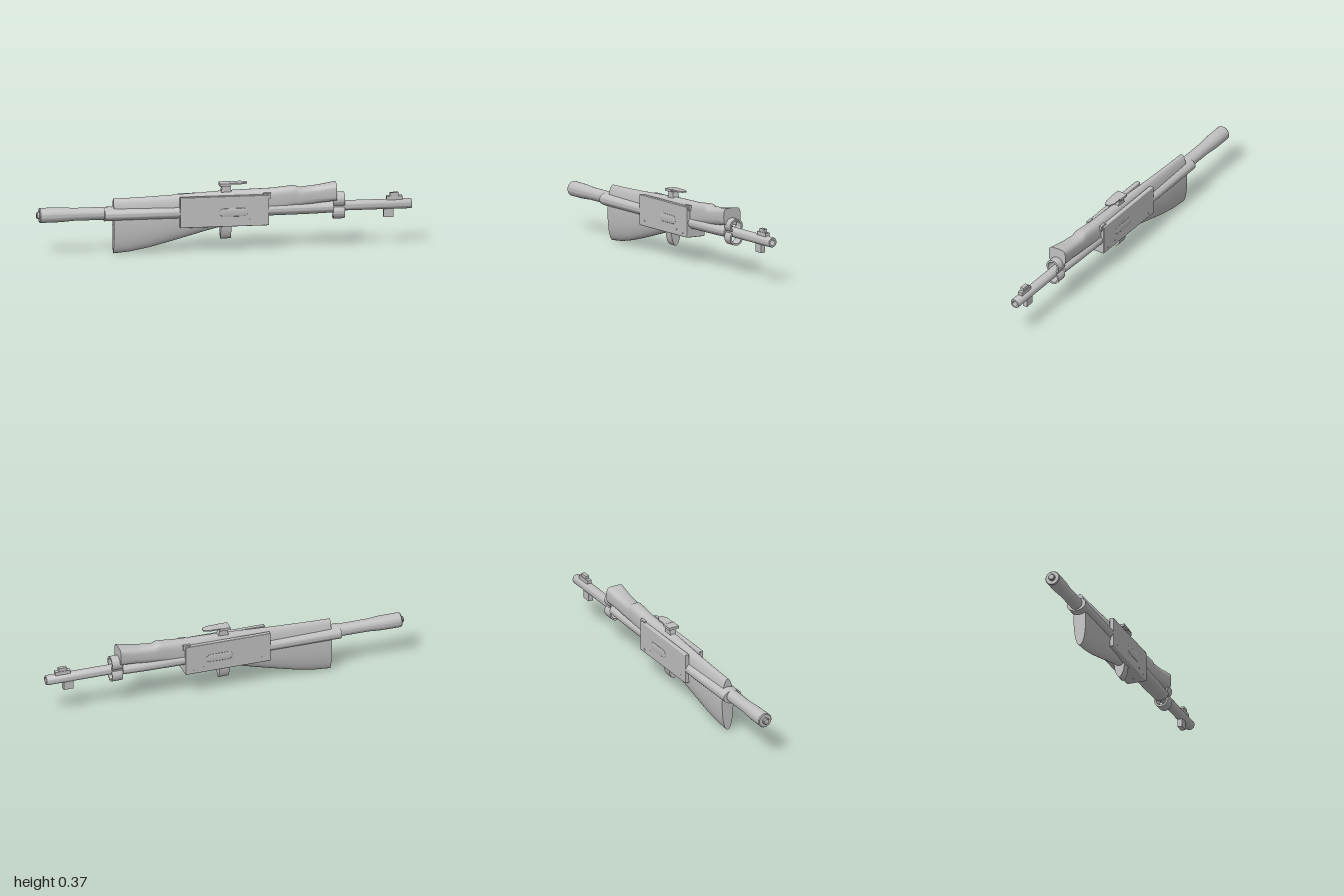
import * as THREE from 'three';
import { toCreasedNormals } from 'three/addons/utils/BufferGeometryUtils.js';
import { RoundedBoxGeometry } from 'three/addons/geometries/RoundedBoxGeometry.js';

const AXIS = 0.222; // height of the barrel axis

export function createModel() {
  const root = new THREE.Group();
  const grey = new THREE.MeshStandardMaterial({ color: 0xc0c0c0 });

  const add = (name, geo, x = 0, y = 0, z = 0) => {
    const m = new THREE.Mesh(geo, grey);
    m.name = name;
    m.position.set(x, y, z);
    root.add(m);
    return m;
  };
  // box from its limits, centred on z = 0 unless shifted
  const box = (name, x0, x1, y0, y1, w, z = 0) =>
    add(name, new THREE.BoxGeometry(x1 - x0, y1 - y0, w), (x0 + x1) / 2, (y0 + y1) / 2, z);
  // body turned around the x axis, from [x, radius] pairs
  const turned = (name, pts, y = AXIS, zScale = 1) => {
    const g = new THREE.LatheGeometry(pts.map(([x, r]) => new THREE.Vector2(r, x)), 40);
    g.rotateZ(-Math.PI / 2);
    g.scale(1, 1, zScale);
    return add(name, toCreasedNormals(g, 0.5), 0, y);
  };
  // loft along x: stations [x, bottom, top, halfWidth, squareness]
  const loft = (name, stations, n = 36) => {
    const pos = [], idx = [];
    const bend = (v, p) => Math.sign(v) * Math.pow(Math.abs(v), p);
    stations.forEach(([x, lo, hi, hw, p]) => {
      for (let j = 0; j < n; j++) {
        const a = (j / n) * Math.PI * 2;
        pos.push(x, (lo + hi) / 2 + bend(Math.sin(a), p) * (hi - lo) / 2, bend(Math.cos(a), p) * hw);
      }
    });
    const last = stations.length - 1;
    for (let i = 0; i < last; i++) for (let j = 0; j < n; j++) {
      const k = (j + 1) % n, a = i * n, b = a + n;
      idx.push(a + j, b + j, a + k, b + j, b + k, a + k);
    }
    [0, last].forEach((s) => {
      const c = pos.length / 3, [x, lo, hi] = stations[s];
      pos.push(x, (lo + hi) / 2, 0);
      for (let j = 0; j < n; j++) {
        const a = s * n + j, b = s * n + (j + 1) % n;
        idx.push(c, ...(s ? [b, a] : [a, b]));
      }
    });
    const g = new THREE.BufferGeometry();
    g.setAttribute('position', new THREE.Float32BufferAttribute(pos, 3));
    g.setIndex(idx);
    return add(name, toCreasedNormals(g, 0.7));
  };

  // Stock: deep at the rear, slim in the middle, flared at the front
  loft('stock', [
    [-0.59, 0.003, 0.3, 0.034, 0.95],
    [-0.5, 0.011, 0.302, 0.036, 0.95],
    [-0.4, 0.03, 0.305, 0.036, 0.9],
    [-0.3, 0.055, 0.309, 0.036, 0.9],
    [-0.2, 0.082, 0.314, 0.036, 0.85],
    [-0.1, 0.11, 0.319, 0.036, 0.8],
    [0, 0.135, 0.324, 0.036, 0.75],
    [0.12, 0.16, 0.327, 0.036, 0.7],
    [0.25, 0.2, 0.329, 0.038, 0.7],
    [0.36, 0.225, 0.338, 0.039, 0.65],
    [0.38, 0.228, 0.338, 0.039, 0.65],
    [0.4, 0.23, 0.328, 0.039, 0.65],
    [0.5, 0.245, 0.336, 0.044, 0.6],
    [0.596, 0.255, 0.35, 0.052, 0.5],
  ]);

  // Barrel group
  turned('rearTube', [[-0.985, 0], [-0.985, 0.036], [-0.98, 0.04], [-0.87, 0.039], [-0.8, 0.034], [-0.6, 0.034], [-0.6, 0]]);
  turned('rearPin', [[-1, 0], [-1, 0.014], [-0.995, 0.018], [-0.98, 0.018], [-0.98, 0]]);
  turned('barrel', [[0.5, 0], [0.5, 0.027], [0.994, 0.027], [1, 0.024], [1, 0.015], [0.95, 0.015], [0.95, 0]]);
  turned('rearSleeve', [[-0.64, 0], [-0.64, 0.037], [-0.2, 0.037], [-0.2, 0]], 0.218, 1.45);
  turned('frontSleeve', [[0.2, 0], [0.2, 0.036], [0.45, 0.034], [0.58, 0.031], [0.58, 0]], 0.218, 1.35);

  // Receiver: solid floor with a raised wall on each side
  add('receiverBody', new RoundedBoxGeometry(0.475, 0.11, 0.11, 2, 0.004), -0.003, 0.195, 0);
  for (const s of [1, -1]) {
    add('receiverWall', new RoundedBoxGeometry(0.475, 0.165, 0.024, 2, 0.004), -0.003, 0.2225, s * 0.043);
    box('wallLug', 0.205, 0.245, 0.285, 0.313, 0.014, s * 0.041);
    // capsule-shaped side panel
    const rail = new THREE.CapsuleGeometry(0.022, 0.105, 6, 16);
    rail.rotateZ(Math.PI / 2);
    rail.scale(1, 1, 0.14);
    add('sidePanel', rail, 0.045, 0.217, s * 0.055);
    for (const [x, y] of [[-0.19, 0.168], [0.13, 0.172], [0.19, 0.158]]) {
      const pin = new THREE.CylinderGeometry(0.005, 0.005, 0.004, 12);
      pin.rotateX(Math.PI / 2);
      add('sidePin', pin, x, y, s * 0.055);
    }
  }
  for (const x of [-0.18, -0.1, 0.1, 0.18]) {
    add('bottomPin', new THREE.CylinderGeometry(0.006, 0.006, 0.004, 12), x, 0.14, 0);
  }

  // Tapered block under the receiver
  const lower = new THREE.Shape();
  lower.moveTo(-0.03, 0.15);
  lower.quadraticCurveTo(-0.026, 0.075, 0, 0.064);
  lower.quadraticCurveTo(0.026, 0.075, 0.03, 0.15);
  lower.closePath();
  const lowerGeo = new THREE.ExtrudeGeometry(lower, { depth: 0.056, bevelEnabled: false, curveSegments: 10 });
  lowerGeo.rotateY(Math.PI / 2);
  add('lowerBlock', toCreasedNormals(lowerGeo, 0.6), -0.02, 0, 0);

  // Rear sight on a pillar
  const pillar = new THREE.Shape([
    [-0.022, 0.3], [0.045, 0.3], [0.032, 0.345], [0.034, 0.366], [-0.025, 0.366], [-0.025, 0.352], [-0.012, 0.345],
  ].map(([x, y]) => new THREE.Vector2(x, y)));
  const pillarGeo = new THREE.ExtrudeGeometry(pillar, { depth: 0.034, bevelEnabled: false });
  add('sightPillar', pillarGeo, 0, 0, -0.017);
  box('sightPlate', -0.025, 0.035, 0.353, 0.367, 0.06);
  const leaf = new THREE.Shape([
    [0.03, -0.026], [0.09, -0.026], [0.122, -0.012], [0.122, 0.012], [0.09, 0.026], [0.03, 0.026],
  ].map(([x, z]) => new THREE.Vector2(x, z)));
  const leafGeo = new THREE.ExtrudeGeometry(leaf, { depth: 0.007, bevelEnabled: false });
  leafGeo.rotateX(-Math.PI / 2);
  add('sightLeaf', leafGeo, 0, 0.361, 0);

  // Front band: upper ring and lower ring
  const ring = (name, x0, x1, y, outer, inner) => {
    const s = new THREE.Shape().absarc(0, 0, outer, 0, Math.PI * 2, false);
    s.holes.push(new THREE.Path().absarc(0, 0, inner, 0, Math.PI * 2, true));
    const g = new THREE.ExtrudeGeometry(s, { depth: x1 - x0, bevelEnabled: false, curveSegments: 24 });
    g.rotateY(Math.PI / 2);
    return add(name, toCreasedNormals(g, 0.6), x0, y, 0);
  };
  ring('upperRing', 0.58, 0.64, 0.257, 0.039, 0.029);
  ring('lowerRing', 0.58, 0.64, 0.192, 0.039, 0.029);

  // Front sight and lug on the barrel
  box('frontSightBase', 0.865, 0.95, 0.24, 0.266, 0.026);
  box('frontSightPost', 0.885, 0.93, 0.26, 0.284, 0.02);
  box('barrelLug', 0.85, 0.903, 0.153, 0.215, 0.026);

  return root;
}
